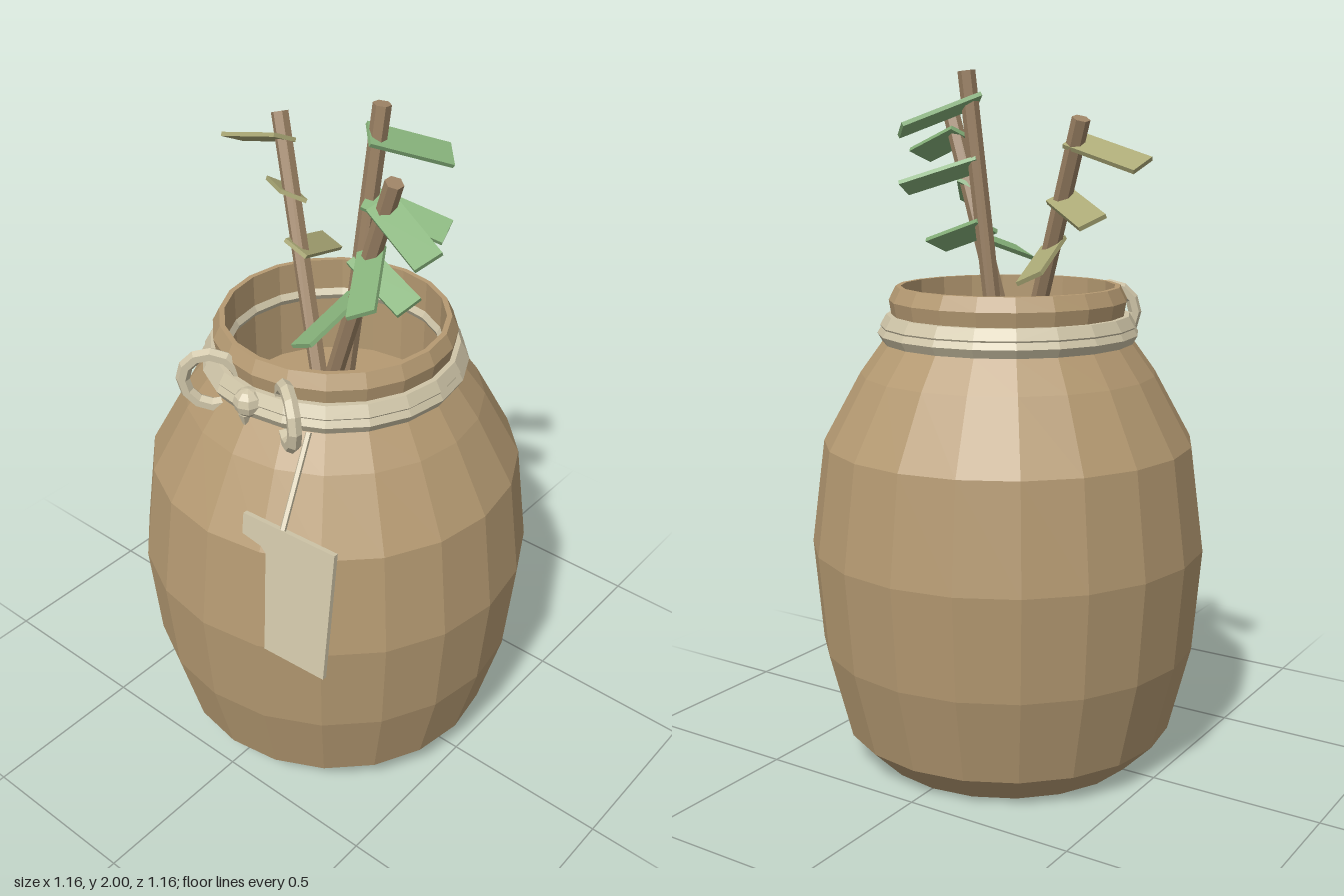
import * as THREE from 'three';

const flat = (name, color, side = THREE.FrontSide) => {
  const m = new THREE.MeshStandardMaterial({ color, side });
  m.name = name;
  m.flatShading = true;
  return m;
};
const V = (p) => new THREE.Vector3(...p);

export function createModel() {
  const clay = flat('clay', 0xb59a72);
  const twine = flat('twine', 0xcfc5a8);
  const paper = flat('paper', 0xd2c8aa);
  const bark = flat('bark', 0x9e8466);
  const green = flat('green leaf', 0x88b47c);
  const olive = flat('olive leaf', 0xaba976);

  const model = new THREE.Group();
  model.name = 'jarWithTwigs';
  const add = (name, geometry, material, parent = model) => {
    const mesh = new THREE.Mesh(geometry, material);
    mesh.name = name;
    parent.add(mesh);
    return mesh;
  };

  // Cylinder running between two points
  const rod = (name, from, to, radius, sides, material, parent) => {
    const a = V(from), b = V(to), d = b.clone().sub(a);
    const mesh = add(name, new THREE.CylinderGeometry(radius, radius, d.length(), sides), material, parent);
    mesh.position.copy(a).add(b).multiplyScalar(0.5);
    mesh.quaternion.setFromUnitVectors(V([0, 1, 0]), d.normalize());
    return mesh;
  };

  // Thin rectangular leaf from its base to its tip, rolled about its length
  const leaf = (from, to, material, parent, roll = 0.45) => {
    const a = V(from), b = V(to), dir = b.clone().sub(a);
    const mesh = add('leaf', new THREE.BoxGeometry(dir.length(), 0.012, 0.08), material, parent);
    dir.normalize();
    const side = dir.clone().cross(V([0, 1, 0])).normalize().applyAxisAngle(dir, roll);
    const up = side.clone().cross(dir);
    mesh.quaternion.setFromRotationMatrix(new THREE.Matrix4().makeBasis(dir, up, side));
    mesh.position.copy(a).add(b).multiplyScalar(0.5);
  };

  // Jar: outer wall, rim, shallow inside and inner floor
  const profile = [
    [0, 0], [0.4, 0], [0.49, 0.09], [0.555, 0.345], [0.58, 0.645], [0.54, 0.95],
    [0.43, 1.15], [0.365, 1.24], [0.335, 1.3], [0.345, 1.36], [0.325, 1.4],
    [0.31, 1.4], [0.308, 1.1], [0, 1.1],
  ].map(([r, y]) => new THREE.Vector2(r, y));
  add('jar', new THREE.LatheGeometry(profile, 20), clay);

  // Twine wound twice round the neck
  for (const [radius, tube, y] of [[0.335, 0.036, 1.288], [0.35, 0.029, 1.265]]) {
    const ring = add('neckTwine', new THREE.TorusGeometry(radius, tube, 6, 20), twine);
    ring.rotation.x = -Math.PI / 2;
    ring.position.y = y;
  }

  // Bow: two loops, a knot and a short tail
  for (const s of [-1, 1]) {
    const loop = add('bowLoop', new THREE.TorusGeometry(0.08, 0.02, 6, 12), twine);
    loop.position.set(s * 0.137, 1.295, 0.357);
    loop.rotation.y = -s * 0.61;
  }
  add('bowKnot', new THREE.SphereGeometry(0.042, 8, 6), twine).position.set(0, 1.283, 0.36);
  const tail = add('bowTail', new THREE.ConeGeometry(0.018, 0.05, 5), twine);
  tail.position.set(0, 1.228, 0.375);
  tail.rotation.x = Math.PI;

  // Hanging tag on a string
  rod('tagString', [0.195, 1.26, 0.34], [0.237, 1.05, 0.495], 0.009, 5, twine);
  const tag = add('tag', new THREE.BoxGeometry(0.3, 0.405, 0.015), paper);
  tag.position.set(0.25, 0.84, 0.507);
  tag.rotation.set(-0.12, 0.067, 0);

  // Twigs: base, tip, leaf colour and [leaf base, leaf tip] pairs
  const twigs = [
    [[-0.02, 1.1, 0.03], [-0.31, 1.865, -0.13], olive, [
      [[-0.265, 1.81, -0.1], [-0.49, 1.745, -0.122]],
      [[-0.21, 1.66, -0.07], [-0.393, 1.6, -0.21]],
      [[-0.167, 1.53, -0.025], [-0.225, 1.45, -0.25]],
    ]],
    [[-0.01, 1.1, 0.04], [0.275, 1.905, 0.105], green, [
      [[0.22, 1.83, 0.09], [0.43, 1.765, 0.165]],
      [[0.18, 1.68, 0.07], [0.3, 1.615, 0.26]],
      [[0.125, 1.53, 0.055], [0.125, 1.47, 0.285]],
    ]],
    [[0.01, 1.1, -0.02], [0.083, 1.999, -0.087], green, [
      [[0.06, 1.92, -0.06], [0.192, 1.835, -0.25]],
      [[0.06, 1.745, -0.055], [0.267, 1.675, -0.14]],
      [[0.04, 1.57, -0.05], [0.255, 1.505, 0]],
    ]],
  ];
  for (const [base, tip, colour, leaves] of twigs) {
    const twig = new THREE.Group();
    twig.name = 'twig';
    model.add(twig);
    rod('twigStem', base, tip, 0.025, 6, bark, twig);
    for (const [from, to] of leaves) leaf(from, to, colour, twig);
  }

  return model;
}
